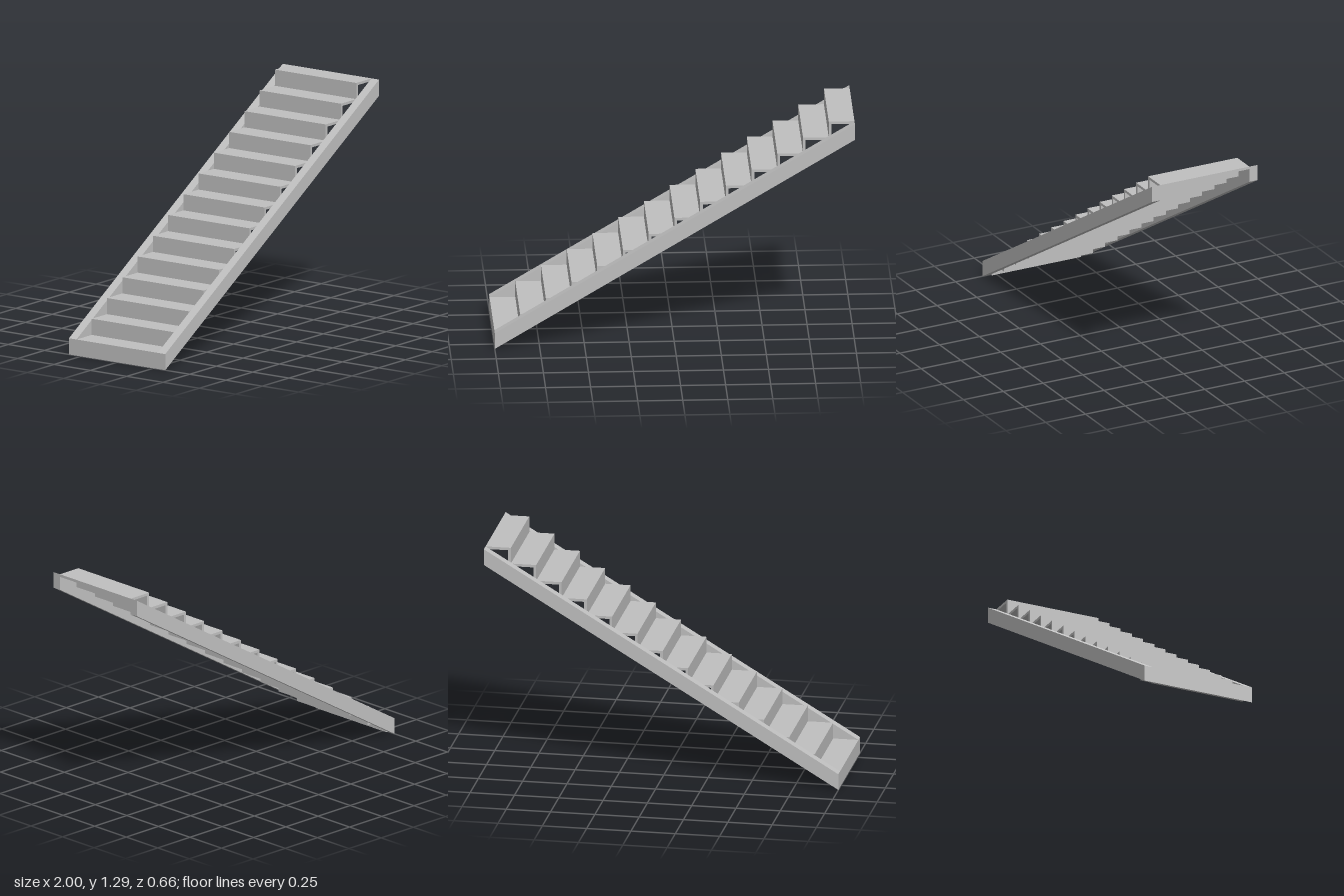
import * as THREE from 'three';

const STEPS = 14;
const HEIGHT = 1.286;
const RISE = HEIGHT / STEPS;
const RUN = 2 / STEPS;
const BOARD = 0.015;      // thickness of treads and risers
const INNER = 0.28;       // half width between the stringers
const OUTER = 0.332;      // half width overall

export function createModel() {
  const model = new THREE.Group();
  model.name = 'staircase';
  const grey = new THREE.MeshStandardMaterial({ color: 0xc0c0c0 });
  grey.name = 'light grey';

  const add = (name, geometry, x, y, z) => {
    const mesh = new THREE.Mesh(geometry, grey);
    mesh.name = name;
    mesh.position.set(x, y, z);
    model.add(mesh);
  };

  // Sloping side stringers with plumb-cut ends
  const side = new THREE.Shape([
    new THREE.Vector2(-1, 0),
    new THREE.Vector2(1, HEIGHT - RISE),
    new THREE.Vector2(1, HEIGHT),
    new THREE.Vector2(-1, RISE),
  ]);
  const stringer = new THREE.ExtrudeGeometry(side, { depth: OUTER - INNER, bevelEnabled: false });
  add('frontStringer', stringer, 0, 0, INNER);
  add('backStringer', stringer, 0, 0, -OUTER);

  // Each riser stands on the tread below and carries the tread above
  for (let i = 0; i < STEPS; i++) {
    const x = -1 + i * RUN;
    const y = i * RISE;
    const riserHeight = RISE - BOARD;
    add('riser' + (i + 1), new THREE.BoxGeometry(BOARD, riserHeight, INNER * 2),
      x + BOARD / 2, y + riserHeight / 2, 0);

    const depth = i < STEPS - 1 ? RUN + BOARD : RUN;
    add('tread' + (i + 1), new THREE.BoxGeometry(depth, BOARD, INNER * 2),
      x + depth / 2, y + RISE - BOARD / 2, 0);
  }
  return model;
}
